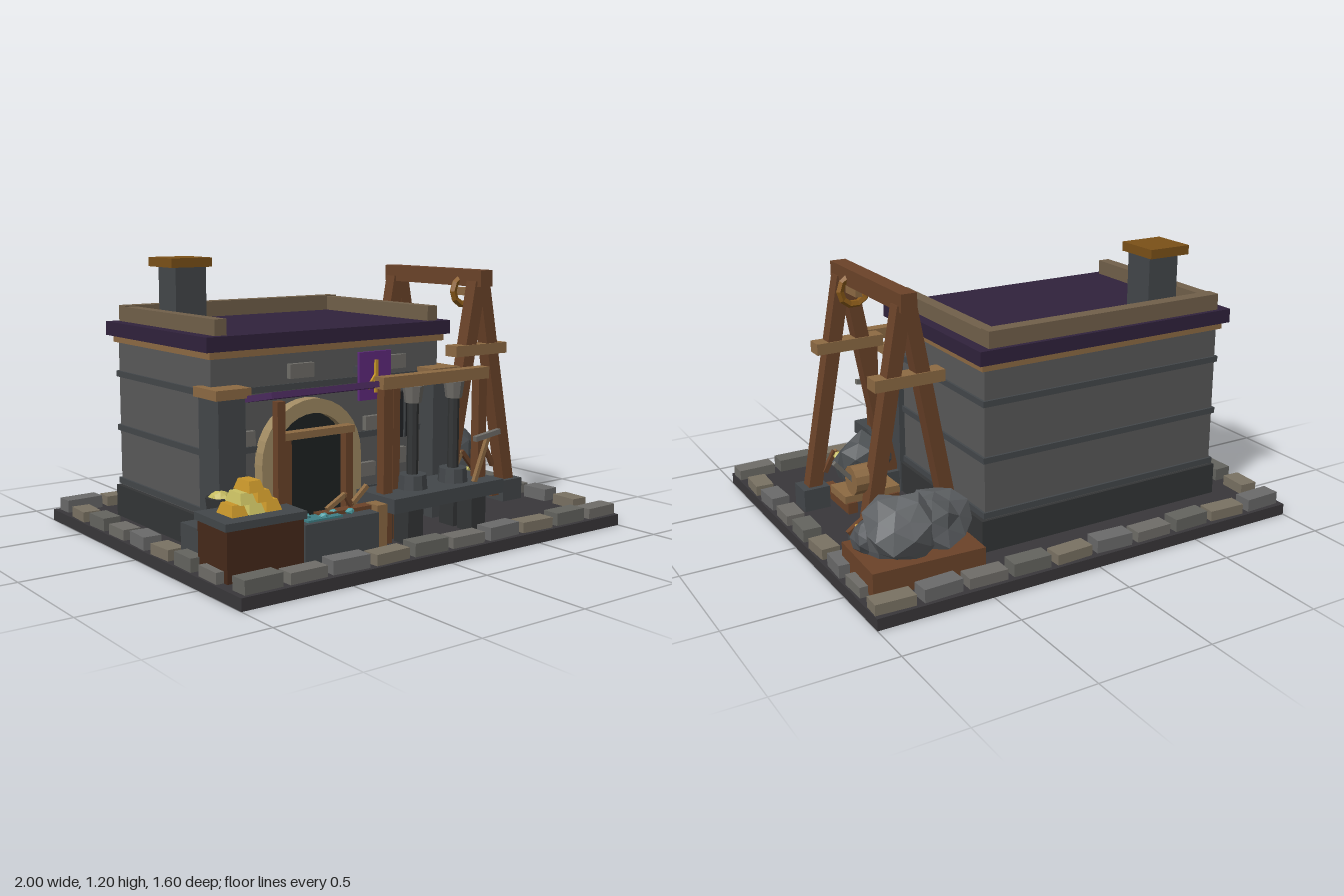
import * as THREE from 'three';

const WOOD = 0x6b4329, DARKWOOD = 0x46291a, TAN = 0x8d6a43, TRIM = 0x71604a, GOLD = 0xc8962a, PALEGOLD = 0xc9bf62;
const WALL = 0x595959, DARK = 0x333536, IRON = 0x43474a, STONE = 0x6f6d68, PURPLE = 0x4b2a5e, ROOF = 0x30223c;

const mats = {};
const mat = (color) => (mats[color] ??= new THREE.MeshStandardMaterial({ color, flatShading: true }));

export function createModel() {
  const root = new THREE.Group();

  const add = (name, geo, color, x = 0, y = 0, z = 0) => {
    const m = new THREE.Mesh(geo, mat(color));
    m.name = name;
    m.position.set(x, y, z);
    root.add(m);
    return m;
  };
  // Box from its limits on each axis
  const box = (name, color, x0, x1, y0, y1, z0, z1) =>
    add(name, new THREE.BoxGeometry(x1 - x0, y1 - y0, z1 - z0), color, (x0 + x1) / 2, (y0 + y1) / 2, (z0 + z1) / 2);
  const cyl = (name, color, r0, r1, y0, y1, x, z, sides = 10) =>
    add(name, new THREE.CylinderGeometry(r1, r0, y1 - y0, sides), color, x, (y0 + y1) / 2, z);
  // Square timber between two points
  const beam = (name, color, a, b, w, d = w) => {
    const p = new THREE.Vector3(...a), q = new THREE.Vector3(...b), dir = q.clone().sub(p);
    const m = add(name, new THREE.BoxGeometry(w, dir.length(), d), color);
    m.position.copy(p).add(q).multiplyScalar(0.5);
    m.quaternion.setFromUnitVectors(new THREE.Vector3(0, 1, 0), dir.normalize());
    return m;
  };
  // Faceted boulder, roughened by a rule on vertex direction
  const rock = (name, color, x, y, z, rx, ry, rz, seed, detail = 1) => {
    const g = new THREE.IcosahedronGeometry(1, detail), p = g.attributes.position;
    for (let i = 0; i < p.count; i++) {
      const a = p.getX(i), b = p.getY(i), c = p.getZ(i);
      const k = 0.93 + 0.13 * Math.sin(a * 5.1 + b * 7.3 + c * 4.7 + seed);
      p.setXYZ(i, a * k * rx, b * k * ry, c * k * rz);
    }
    g.computeVertexNormals();
    return add(name, g, color, x, y, z);
  };

  // Ground slab and border stones
  box('groundSlab', 0x39373a, -1, 1, 0, 0.05, -0.8, 0.8);
  const tones = [0x6f6d68, 0x64645f, 0x7a7263, 0x6a6a6a];
  const borderStone = (x, z, w, d, i) => {
    const m = box('borderStone', tones[(i * 7) % 4], x - w / 2, x + w / 2, 0.045, 0.095 + 0.01 * ((i * 3) % 2), z - d / 2, z + d / 2);
    m.rotation.y = 0.05 * Math.sin(i * 2.3);
  };
  for (let i = 0; i < 10; i++) for (const s of [-1, 1]) borderStone(-0.89 + i * 0.2, s * 0.74, 0.17, 0.08, i + s + 2);
  for (let i = 0; i < 7; i++) for (const s of [-1, 1]) borderStone(s * 0.95, -0.56 + i * 0.185, 0.08, 0.13, i + s + 3);

  // Building: walls, footing, bands
  box('walls', WALL, -0.79, 0.38, 0.05, 0.84, -0.52, 0.26);
  box('footing', DARK, -0.81, 0.4, 0.05, 0.19, -0.535, 0.265);
  for (const y of [0.21, 0.45, 0.69]) box('wallBand', IRON, -0.8, 0.39, y - 0.013, y + 0.013, -0.53, 0.265);
  box('eaveTrim', TAN, -0.805, 0.4, 0.83, 0.86, -0.54, 0.28);
  box('roof', ROOF, -0.83, 0.42, 0.86, 0.92, -0.56, 0.3);
  box('backParapet', TRIM, -0.775, 0.37, 0.92, 0.99, -0.54, -0.48);
  for (const x of [-0.775, 0.315]) box('sideParapet', TRIM, x, x + 0.055, 0.92, 0.985, -0.48, 0.27);
  box('chimney', IRON, -0.64, -0.49, 0.9, 1.16, -0.42, -0.27);
  box('chimneyCap', 0x7b5118, -0.67, -0.47, 1.16, 1.2, -0.455, -0.25);

  // Corner pillars
  for (const x of [-0.75, 0.345]) {
    box('pillar', IRON, x - 0.062, x + 0.062, 0.05, 0.68, 0.2, 0.35);
    box('pillarCap', TAN, x - 0.08, x + 0.08, 0.68, 0.72, 0.19, 0.365);
  }
  // Loose facing blocks on the front wall
  for (const [x, y, w, h] of [[-0.37, 0.755, 0.12, 0.06], [0.12, 0.755, 0.12, 0.06], [0.15, 0.34, 0.07, 0.07],
    [0.0, 0.5, 0.08, 0.06], [-0.64, 0.5, 0.08, 0.06], [-0.03, 0.3, 0.09, 0.06], [0.23, 0.66, 0.08, 0.05]])
    box('facingBlock', STONE, x - w / 2, x + w / 2, y - h / 2, y + h / 2, 0.25, 0.285);

  // Arched doorway
  const archShape = (r) => {
    const s = new THREE.Shape();
    s.moveTo(-r, -0.34);
    s.lineTo(r, -0.34);
    s.lineTo(r, 0);
    s.absarc(0, 0, r, 0, Math.PI, false);
    return s;
  };
  const surround = archShape(0.25);
  surround.holes.push(archShape(0.19));
  add('archSurround', new THREE.ExtrudeGeometry(surround, { depth: 0.06, bevelEnabled: false, curveSegments: 8 }), 0xa08a62, -0.34, 0.39, 0.255);
  add('doorOpening', new THREE.ExtrudeGeometry(archShape(0.19), { depth: 0.02, bevelEnabled: false, curveSegments: 8 }), 0x1d2222, -0.34, 0.39, 0.255);
  for (const x of [-0.495, -0.185]) box('minePost', WOOD, x - 0.018, x + 0.018, 0.05, 0.49, 0.32, 0.36);
  box('mineLintel', TAN, -0.52, -0.16, 0.49, 0.52, 0.315, 0.365);

  // Barred window
  box('window', 0x222426, 0.045, 0.19, 0.42, 0.62, 0.255, 0.285);
  for (let i = 0; i < 4; i++) box('windowBar', IRON, 0.06 + i * 0.036, 0.068 + i * 0.036, 0.42, 0.62, 0.28, 0.292);

  // Awning with posts
  const awning = box('awning', PURPLE, -0.69, -0.02, 0.675, 0.7, 0.29, 0.54);
  awning.rotation.x = -0.2;
  for (const x of [-0.63, -0.06]) box('awningPost', WOOD, x - 0.018, x + 0.018, 0.05, 0.68, 0.48, 0.515);

  // Hanging sign
  box('signBoard', 0x5f2a7d, -0.11, 0.06, 0.61, 0.815, 0.315, 0.33);
  box('signBracket', IRON, -0.09, 0.04, 0.72, 0.75, 0.26, 0.315);
  beam('signBar', GOLD, [-0.025, 0.64, 0.334], [-0.025, 0.78, 0.334], 0.014);
  beam('signBar', GOLD, [-0.07, 0.66, 0.334], [-0.025, 0.72, 0.334], 0.012);

  // Stamping bench and its timber frame
  const bench = box('benchTop', IRON, -0.19, 0.43, 0.2, 0.26, 0.41, 0.65);
  bench.rotation.y = 0.03;
  for (const x of [-0.05, 0.3]) for (const z of [0.47, 0.585]) box('benchLeg', DARK, x - 0.04, x + 0.04, 0.05, 0.2, z - 0.045, z + 0.045);
  for (const x of [-0.14, 0.38]) box('benchFramePost', WOOD, x - 0.023, x + 0.023, x < 0 ? 0.05 : 0.26, 0.69, 0.515, 0.56);
  box('benchFrameBeam', TAN, -0.17, 0.41, 0.69, 0.74, 0.51, 0.565);
  for (const x of [0.01, 0.235]) {
    cyl('stampBase', IRON, 0.065, 0.06, 0.26, 0.32, x, 0.535);
    cyl('stampRod', DARK, 0.024, 0.024, 0.32, 0.69, x, 0.535, 8);
    cyl('stampCollar', STONE, 0.035, 0.045, 0.62, 0.69, x, 0.535, 8);
  }
  // Pick leaning on the bench
  beam('pickHandle', TAN, [0.29, 0.26, 0.61], [0.37, 0.46, 0.61], 0.018);
  beam('pickHead', STONE, [0.29, 0.445, 0.61], [0.43, 0.465, 0.61], 0.022);

  // Wash trough with water and scrap timbers
  const trough = box('trough', IRON, -0.61, -0.26, 0.05, 0.22, 0.53, 0.65);
  trough.rotation.y = -0.03;
  box('troughWater', 0x3f7f86, -0.585, -0.42, 0.215, 0.228, 0.55, 0.625);
  for (let i = 0; i < 4; i++) rock('teal crystal', 0x4fa0a6, -0.56 + i * 0.065, 0.23, 0.575 + 0.025 * (i % 2), 0.022, 0.016, 0.018, i, 0);
  box('troughBoard', WOOD, -0.5, -0.24, 0.2, 0.235, 0.54, 0.59);
  const zig = (name, pts, z, w) => {
    for (let i = 1; i < pts.length; i++) beam(name, i % 2 ? TAN : WOOD, [...pts[i - 1], z], [...pts[i], z], w);
  };
  zig('scrapTimber', [[-0.45, 0.24], [-0.36, 0.29], [-0.33, 0.24], [-0.25, 0.31]], 0.56, 0.018);
  box('trestleBlock', TAN, -0.25, -0.2, 0.05, 0.24, 0.555, 0.63);

  // Crate of gold bars
  const crate = box('crate', DARKWOOD, -0.955, -0.62, 0.05, 0.255, 0.425, 0.645);
  const lid = box('crateTop', IRON, -0.965, -0.61, 0.25, 0.28, 0.415, 0.655);
  crate.rotation.y = lid.rotation.y = -0.03;
  const bar = new THREE.CylinderGeometry(0.7, 1, 1, 4).rotateY(Math.PI / 4).scale(0.05, 0.042, 0.08);
  for (let row = 0; row < 3; row++)
    for (let i = 0; i < 3 - row; i++)
      add('goldBar', bar, (i + row) % 2 ? PALEGOLD : GOLD, -0.79 + (i - (2 - row) / 2) * 0.076, 0.301 + row * 0.041, 0.53);

  // Plinth, tub of gold beside the left pillar
  box('plinth', IRON, -0.93, -0.71, 0.05, 0.2, 0.25, 0.41);
  cyl('tub', DARK, 0.05, 0.062, 0.2, 0.3, -0.8, 0.34);
  rock('tubGold', PALEGOLD, -0.8, 0.3, 0.34, 0.048, 0.03, 0.048, 2);

  // Headframe: two A-frames and a ridge beam
  for (const z of [0.265, -0.31]) {
    for (const s of [-1, 1]) {
      beam('headframeLeg', WOOD, [0.62 + s * 0.195, 0.1, z], [0.62 + s * 0.012, 1.08, z], 0.062);
      box('headframeFoot', IRON, 0.62 + s * 0.19 - 0.06, 0.62 + s * 0.19 + 0.06, 0.05, 0.15, z - 0.055, z + 0.055);
    }
    box('headframeCrossbar', TAN, 0.46, 0.77, 0.75, 0.8, z - 0.037, z + 0.037);
  }
  box('ridgeBeam', WOOD, 0.585, 0.655, 1.06, 1.135, -0.36, 0.32);
  add('pulleyRing', new THREE.TorusGeometry(0.062, 0.017, 5, 10), 0x8a5a18, 0.62, 1.035, 0.165);
  box('pulleyAxle', TAN, 0.605, 0.635, 1.015, 1.05, 0.11, 0.215);

  // Winch drum and crank
  const drum = cyl('winchDrum', TAN, 0.06, 0.06, 0.305, 0.435, 0.785, -0.26, 12);
  drum.rotation.z = Math.PI / 2;
  beam('winchBracket', WOOD, [0.77, 0.28, -0.31], [0.77, 0.38, -0.26], 0.035);
  beam('winchCrank', STONE, [0.84, 0.37, -0.26], [0.92, 0.46, -0.26], 0.018);

  // Ore skip under the headframe
  box('skipTray', TAN, 0.49, 0.75, 0.125, 0.16, 0.04, 0.2);
  for (const x of [0.52, 0.72]) box('skipRunner', WOOD, x - 0.022, x + 0.022, 0.08, 0.13, 0.03, 0.3);
  rock('skipOre', 0x4b4f52, 0.62, 0.27, 0.135, 0.135, 0.14, 0.1, 1);
  zig('skipTimber', [[0.5, 0.2], [0.56, 0.3], [0.63, 0.22], [0.71, 0.3], [0.76, 0.21]], 0.235, 0.02);
  for (const [x, y] of [[0.54, 0.3], [0.7, 0.28], [0.61, 0.2]]) rock('goldNugget', PALEGOLD, x, y, 0.215, 0.025, 0.025, 0.02, x * 9, 0);

  // Ore heap in a tray at the back
  const tray = box('oreTray', WOOD, 0.47, 0.95, 0.06, 0.165, -0.685, -0.37);
  tray.rotation.y = -0.04;
  rock('heapRock', 0x5a5d60, 0.61, 0.25, -0.52, 0.15, 0.14, 0.14, 3);
  rock('heapRock', 0x606366, 0.78, 0.26, -0.55, 0.16, 0.155, 0.14, 5);
  rock('heapRock', 0x53565a, 0.87, 0.21, -0.47, 0.075, 0.08, 0.085, 0.5);
  zig('heapTimber', [[0.52, 0.22], [0.63, 0.27], [0.72, 0.19], [0.82, 0.27], [0.92, 0.2]], -0.375, 0.022);
  for (const x of [0.58, 0.76, 0.88]) rock('goldNugget', GOLD, x, 0.22, -0.385, 0.024, 0.022, 0.02, x * 5, 0);

  return root;
}
